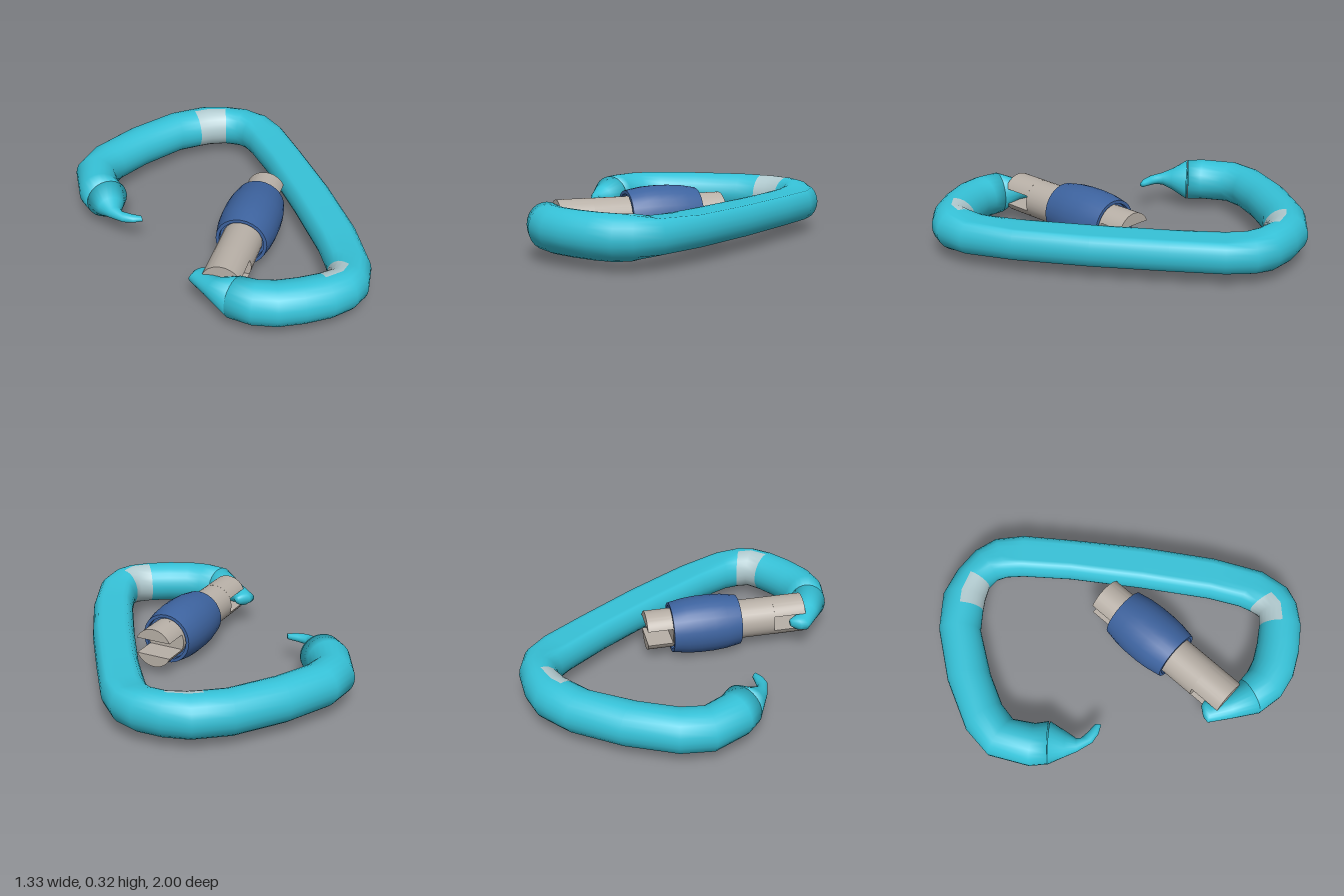
import * as THREE from 'three';
import { toCreasedNormals } from 'three/addons/utils/BufferGeometryUtils.js';

const MID = 0.16;   // height of the centre plane
const R = 0.115;    // radius of the bar
const N = 24;       // sides of the bar

// Loft through rows [outerX, outerZ, innerX, innerZ, halfHeight, radius].
// The section is an ellipse cut flat at halfHeight; segments listed in
// "patches" get material 1 on their inner half.
function loft(rows, patches = []) {
  const pos = [], main = [], patch = [];
  for (const [ox, oz, ix, iz, h, r = h] of rows) {
    for (let j = 0; j < N; j++) {
      const a = j / N * Math.PI * 2, c = Math.cos(a) / 2;
      const y = THREE.MathUtils.clamp(r * Math.sin(a), -h, h);
      pos.push((ox + ix) / 2 + (ox - ix) * c, MID + y, (oz + iz) / 2 + (oz - iz) * c);
    }
  }
  for (let i = 0; i < rows.length - 1; i++) {
    for (let j = 0; j < N; j++) {
      const k = (j + 1) % N, a = i * N + j, b = i * N + k;
      const inner = patches.includes(i) && j >= N / 4 && j < N * 3 / 4;
      (inner ? patch : main).push(a, b, b + N, a, b + N, a + N);
    }
  }
  // End caps
  for (const end of [0, rows.length - 1]) {
    const [ox, oz, ix, iz] = rows[end], centre = pos.length / 3;
    pos.push((ox + ix) / 2, MID, (oz + iz) / 2);
    for (let j = 0; j < N; j++) {
      const a = end * N + j, b = end * N + (j + 1) % N;
      main.push(centre, ...(end ? [a, b] : [b, a]));
    }
  }
  const g = new THREE.BufferGeometry();
  g.setAttribute('position', new THREE.Float32BufferAttribute(pos, 3));
  g.setIndex([...main, ...patch]);
  g.addGroup(0, main.length, 0);
  g.addGroup(main.length, patch.length, 1);
  g.computeVertexNormals();
  return g;
}

export function createModel() {
  const mat = (name, color) => {
    const m = new THREE.MeshStandardMaterial({ color });
    m.name = name;
    return m;
  };
  const teal = mat('teal', 0x36c2d8), pale = mat('paleGrey', 0xb2cbd0);
  const blue = mat('blue', 0x3d639f), steel = mat('warmGrey', 0xb8b0a7);

  const model = new THREE.Group();
  model.name = 'carabiner';
  const add = (parent, name, geometry, material) => {
    const mesh = new THREE.Mesh(geometry, material);
    mesh.name = name;
    parent.add(mesh);
    return mesh;
  };

  // Bent bar: top arm, flattened spine, bottom arm
  const body = [
    [-0.65, -0.34, -0.42, -0.35, R],
    [-0.665, -0.44, -0.435, -0.42, R],
    [-0.62, -0.66, -0.42, -0.54, R],
    [-0.49, -0.79, -0.34, -0.61, R],
    [-0.22, -0.92, -0.17, -0.69, R],
    [0.07, -1.0, 0.08, -0.77, R],
    [0.2, -1.0, 0.2, -0.77, R],
    [0.28, -1.0, 0.27, -0.765, R],
    [0.42, -0.94, 0.35, -0.75, R],
    [0.55, -0.85, 0.4, -0.71, 0.108, R],
    [0.63, -0.74, 0.42, -0.66, 0.092, R],
    [0.66, -0.58, 0.43, -0.57, 0.08, R],
    [0.65, -0.3, 0.43, -0.3, 0.08, R],
    [0.63, 0.1, 0.4, 0.1, 0.08, R],
    [0.585, 0.5, 0.36, 0.48, 0.08, R],
    [0.52, 0.78, 0.325, 0.65, 0.088, R],
    [0.43, 0.92, 0.3, 0.715, 0.108, R],
    [0.34, 0.97, 0.27, 0.765, R],
    [0.21, 0.995, 0.2, 0.765, R],
    [0.06, 0.985, 0.1, 0.755, R],
    [-0.08, 0.955, 0.0, 0.735, R],
    [-0.2, 0.89, -0.07, 0.705, R],
    [-0.295, 0.78, -0.125, 0.665, R],
  ];
  add(model, 'bar', loft(body, [6, 7, 16, 17]), [teal, pale]);

  // Thin hook at the end of the top arm
  add(model, 'noseHook', loft([
    [-0.42, -0.07, -0.42, -0.105, 0.015],
    [-0.47, -0.08, -0.465, -0.14, 0.022],
    [-0.52, -0.11, -0.5, -0.175, 0.027],
    [-0.575, -0.19, -0.5, -0.2, 0.035],
    [-0.61, -0.26, -0.47, -0.25, 0.062],
    [-0.65, -0.34, -0.42, -0.34, R],
  ]), teal);

  // Tapered tab that carries the gate
  add(model, 'hingeTab', loft([
    [-0.295, 0.78, -0.125, 0.665, R],
    [-0.335, 0.64, -0.21, 0.6, 0.06],
    [-0.37, 0.5, -0.25, 0.53, 0.04],
    [-0.34, 0.475, -0.25, 0.49, 0.035],
    [-0.28, 0.462, -0.25, 0.48, 0.02],
  ]), teal);

  // Gate: local z runs along its axis from the hinge
  const gate = new THREE.Group();
  gate.name = 'gate';
  gate.position.set(-0.237, MID, 0.607);
  gate.rotation.y = Math.atan2(0.564, -0.707);
  model.add(gate);
  const length = 0.904, r = 0.109, slot = 0.044, hingeSlot = 0.18, latchSlot = 0.14;

  const core = length - hingeSlot - latchSlot;
  const rod = add(gate, 'gateRod', new THREE.CylinderGeometry(r, r, core, 28), steel);
  rod.rotation.x = Math.PI / 2;
  rod.position.z = hingeSlot + core / 2;

  // Slotted ends, each made of an upper and a lower jaw
  const a = Math.asin(slot / r);
  const jaw = new THREE.Shape().absarc(0, 0, r, a, Math.PI - a, false);
  for (const [name, z, depth] of [['hingeJaw', 0, hingeSlot], ['latchJaw', length - latchSlot, latchSlot]]) {
    const g = toCreasedNormals(new THREE.ExtrudeGeometry(jaw, { depth, bevelEnabled: false, curveSegments: 12 }), 0.6);
    for (const turn of [0, Math.PI]) {
      const m = add(gate, name, g, steel);
      m.position.z = z;
      m.rotation.z = turn;
    }
  }

  // Barrel-shaped locking sleeve with recessed ends
  const profile = [
    [0.105, 0.4], [0.122, 0.4], [0.122, 0.375], [0.14, 0.375], [0.155, 0.46], [0.16, 0.53],
    [0.16, 0.61], [0.155, 0.68], [0.14, 0.762], [0.122, 0.762], [0.122, 0.735], [0.105, 0.735],
  ].map(([x, y]) => new THREE.Vector2(x, y));
  const sleeve = add(gate, 'lockingSleeve', toCreasedNormals(new THREE.LatheGeometry(profile, 28), 0.6), blue);
  sleeve.rotation.x = Math.PI / 2;

  return model;
}
